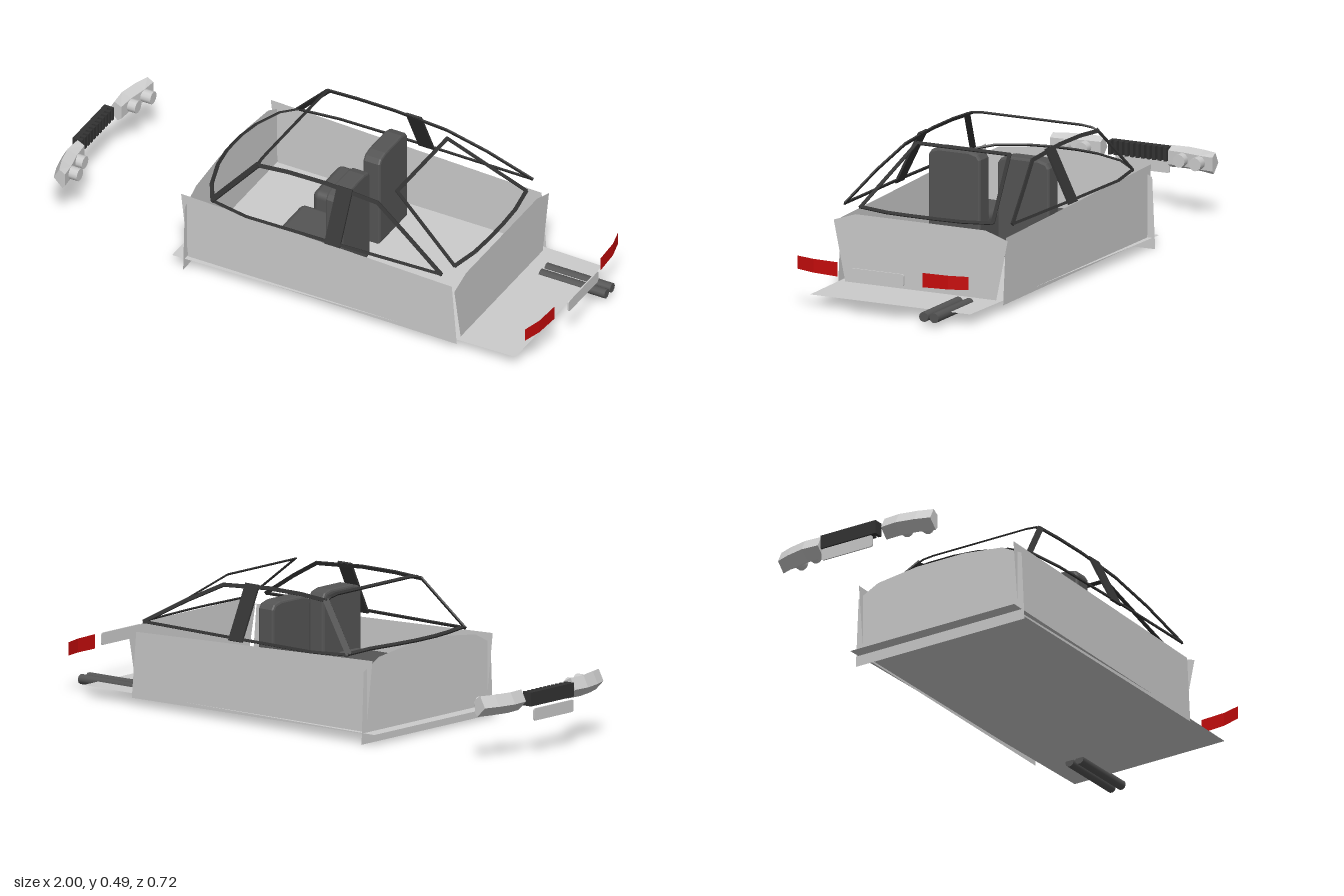
import * as THREE from 'three';
import { RoundedBoxGeometry } from 'three/addons/geometries/RoundedBoxGeometry.js';

const material = (color, extra = {}) => new THREE.MeshStandardMaterial({ color, side: THREE.DoubleSide, ...extra });
const grey = material(0xcccccc);
const greyFlat = material(0xcccccc, { flatShading: true });
const trim = material(0x333333);
const fabric = material(0x555555);
const red = material(0xc80c0c);

function add(parent, name, geometry, mat, x = 0, y = 0, z = 0) {
  const mesh = new THREE.Mesh(geometry, mat);
  mesh.name = name;
  mesh.position.set(x, y, z);
  parent.add(mesh);
  return mesh;
}

// Flat convex panel from its corner points
function panel(points) {
  const g = new THREE.BufferGeometry();
  g.setAttribute('position', new THREE.Float32BufferAttribute(points.flat(), 3));
  const index = [];
  for (let i = 1; i < points.length - 1; i++) index.push(0, i, i + 1);
  g.setIndex(index);
  g.computeVertexNormals();
  return g;
}

// Cross panel at a given x, mirrored about z = 0 from half an outline (z, y)
function crossPanel(x, half) {
  const left = half.map(([z, y]) => [x, y, z]);
  const right = half.map(([z, y]) => [x, y, -z]).reverse();
  return panel([...left, ...right]);
}

// Thin flat strip of boxes along a path, lying on the surface with the given normal
function strip(parent, name, points, width, normal, thickness = 0.006) {
  const group = new THREE.Group();
  group.name = name;
  const n = new THREE.Vector3(...normal);
  for (let i = 0; i < points.length - 1; i++) {
    const a = new THREE.Vector3(...points[i]), b = new THREE.Vector3(...points[i + 1]);
    const dir = b.clone().sub(a);
    const length = dir.length();
    dir.normalize();
    const side = new THREE.Vector3().crossVectors(n, dir).normalize();
    const up = new THREE.Vector3().crossVectors(dir, side);
    const bar = add(group, name + 'Bar', new THREE.BoxGeometry(width, thickness, length + width * 0.4), trim);
    bar.quaternion.setFromRotationMatrix(new THREE.Matrix4().makeBasis(side, up, dir));
    bar.position.copy(a).add(b).multiplyScalar(0.5);
  }
  parent.add(group);
}

// Loft between five-sided sections running along z
function lampHousing() {
  const stations = [[0.135, -0.985, -0.935], [0.2, -0.99, -0.93], [0.27, -0.975, -0.915], [0.325, -0.955, -0.91]];
  const pos = [], index = [];
  for (const [z, f, b] of stations)
    for (const [x, y] of [[f, 0.195], [f + 0.022, 0.236], [b, 0.222], [b, 0.172], [f + 0.035, 0.16]]) pos.push(x, y, z);
  for (let s = 0; s < 3; s++)
    for (let i = 0; i < 5; i++) {
      const a = s * 5 + i, b = s * 5 + (i + 1) % 5;
      index.push(a, b, a + 5, b, b + 5, a + 5);
    }
  for (let i = 1; i < 4; i++) index.push(0, i + 1, i, 15, 15 + i, 16 + i);
  const g = new THREE.BufferGeometry();
  g.setAttribute('position', new THREE.Float32BufferAttribute(pos, 3));
  g.setIndex(index);
  g.computeVertexNormals();
  return g;
}

// Thin plate with rounded corners, facing along x
function numberPlate() {
  const w = 0.108, h = 0.022, r = 0.008, s = new THREE.Shape();
  s.absarc(w - r, h - r, r, 0, Math.PI / 2);
  s.absarc(-w + r, h - r, r, Math.PI / 2, Math.PI);
  s.absarc(-w + r, -h + r, r, Math.PI, Math.PI * 1.5);
  s.absarc(w - r, -h + r, r, Math.PI * 1.5, Math.PI * 2);
  return new THREE.ExtrudeGeometry(s, { depth: 0.005, bevelEnabled: false, curveSegments: 4 }).rotateY(Math.PI / 2);
}

// Parts found on each side
function buildSide(side) {
  // Tub wall
  add(side, 'sideWall', panel([[-0.41, 0.033, 0.33], [0.67, 0.025, 0.33], [0.65, 0.265, 0.33], [-0.44, 0.3, 0.33]]), grey);

  // Side window frame and pillars
  const out = [0, 0.4, 0.9];
  strip(side, 'frontPillar', [[-0.32, 0.308, 0.318], [-0.17, 0.472, 0.262]], 0.022, [-0.5, 0.4, 0.8]);
  strip(side, 'beltTrim', [[-0.32, 0.305, 0.32], [-0.17, 0.3, 0.343], [0.2, 0.304, 0.343], [0.61, 0.308, 0.335]], 0.01, out);
  strip(side, 'roofRail', [[-0.17, 0.472, 0.262], [-0.05, 0.48, 0.257], [0.1, 0.481, 0.255], [0.31, 0.467, 0.255]], 0.014, out);
  strip(side, 'rearPillar', [[0.31, 0.467, 0.255], [0.45, 0.398, 0.295], [0.61, 0.308, 0.335]], 0.014, out);
  strip(side, 'middlePillar', [[0.178, 0.305, 0.342], [0.178, 0.475, 0.258]], 0.062, out, 0.008);

  // Seat: cushion and backrest with chamfered top corners
  const seat = new THREE.Group();
  seat.name = 'seat';
  side.add(seat);
  add(seat, 'seatCushion', new RoundedBoxGeometry(0.25, 0.14, 0.206, 3, 0.025), fabric, 0.01, 0.125, 0.138);
  const s = new THREE.Shape();
  for (const [z, y] of [[-0.104, 0.06], [0.104, 0.06], [0.104, 0.4], [0.092, 0.418], [0.06, 0.427], [-0.06, 0.427], [-0.092, 0.418], [-0.104, 0.4]])
    s.lineTo(z, y);
  s.curves.shift();
  const back = new THREE.ExtrudeGeometry(s, { depth: 0.053, bevelSize: 0.008, bevelOffset: -0.008, bevelThickness: 0.008, bevelSegments: 2 });
  back.rotateY(Math.PI / 2);
  add(seat, 'seatBack', back, fabric, 0.1, 0, 0.138);

  // Headlamp with two bulb housings pointing backwards
  const lamp = new THREE.Group();
  lamp.name = 'headlamp';
  side.add(lamp);
  add(lamp, 'lampHousing', lampHousing(), greyFlat);
  for (const [x, z] of [[-0.925, 0.195], [-0.905, 0.27]])
    add(lamp, 'bulbHousing', new THREE.CylinderGeometry(0.024, 0.024, 0.05, 12).rotateZ(Math.PI / 2), grey, x, 0.197, z);

  // Curved tail light
  const lights = [[0.975, 0.138, 0.19, 0.17], [0.97, 0.14, 0.19, 0.27], [0.952, 0.142, 0.19, 0.342]];
  for (let i = 0; i < 2; i++) {
    const [x0, b0, t0, z0] = lights[i], [x1, b1, t1, z1] = lights[i + 1];
    add(side, 'tailLight', panel([[x0, b0, z0], [x0, t0, z0], [x1, t1, z1], [x1, b1, z1]]), red);
  }
}

export function createModel() {
  const model = new THREE.Group();
  model.name = 'carInterior';

  // Tub: floor, front bulkhead, rear panel
  add(model, 'floor', panel([[-0.465, 0.04, 0.35], [0.9, 0.04, 0.32], [0.9, 0.04, -0.32], [-0.465, 0.04, -0.35]]), grey);
  add(model, 'frontBulkhead', crossPanel(-0.415, [[0.36, 0], [0.348, 0.26], [0.265, 0.302], [0.1, 0.322]]), grey);
  add(model, 'rearPanel', crossPanel(0.67, [[0.302, 0.04], [0.348, 0.26], [0.26, 0.289]]), grey);

  for (const sign of [1, -1]) {
    const side = new THREE.Group();
    side.name = sign > 0 ? 'nearSide' : 'farSide';
    buildSide(side);
    side.scale.z = sign;
    model.add(side);
  }

  // Windscreen and rear window surrounds
  const across = half => [...half, ...half.map(([x, y, z]) => [x, y, -z]).reverse()];
  strip(model, 'windscreenTop', across([[-0.17, 0.472, 0.262], [-0.168, 0.482, 0.24], [-0.166, 0.487, 0.2]]), 0.012, [-0.5, 0.85, 0]);
  strip(model, 'windscreenBase', across([[-0.32, 0.308, 0.318], [-0.36, 0.322, 0.25], [-0.395, 0.327, 0.14], [-0.408, 0.328, 0.05]]), 0.014, [-0.5, 0.85, 0]);
  strip(model, 'rearWindowFrame',
    [...across([[0.35, 0.488, 0.185], [0.625, 0.306, 0.264], [0.643, 0.302, 0.15], [0.648, 0.302, 0.05]]), [0.35, 0.488, 0.185]],
    0.014, [0.55, 0.83, 0], 0.004);

  // Grille with upright slats
  const grille = new THREE.Group();
  grille.name = 'grille';
  model.add(grille);
  add(grille, 'grilleBack', new THREE.BoxGeometry(0.02, 0.05, 0.235), trim, -0.983, 0.2, 0);
  for (let i = 0; i < 11; i++)
    add(grille, 'grilleSlat', new THREE.BoxGeometry(0.035, 0.05, 0.012), trim, -0.972, 0.2, (i - 5) * 0.0222);

  // Number plates
  add(model, 'frontPlate', numberPlate(), grey, -1, 0.145, 0);
  add(model, 'rearPlate', numberPlate(), grey, 0.995, 0.16, 0);

  // Twin exhaust pipes
  for (const z of [-0.183, -0.225])
    add(model, 'exhaustPipe', new THREE.CylinderGeometry(0.018, 0.018, 0.265, 10).rotateZ(Math.PI / 2), fabric, 0.86, 0.035, z);

  return model;
}
